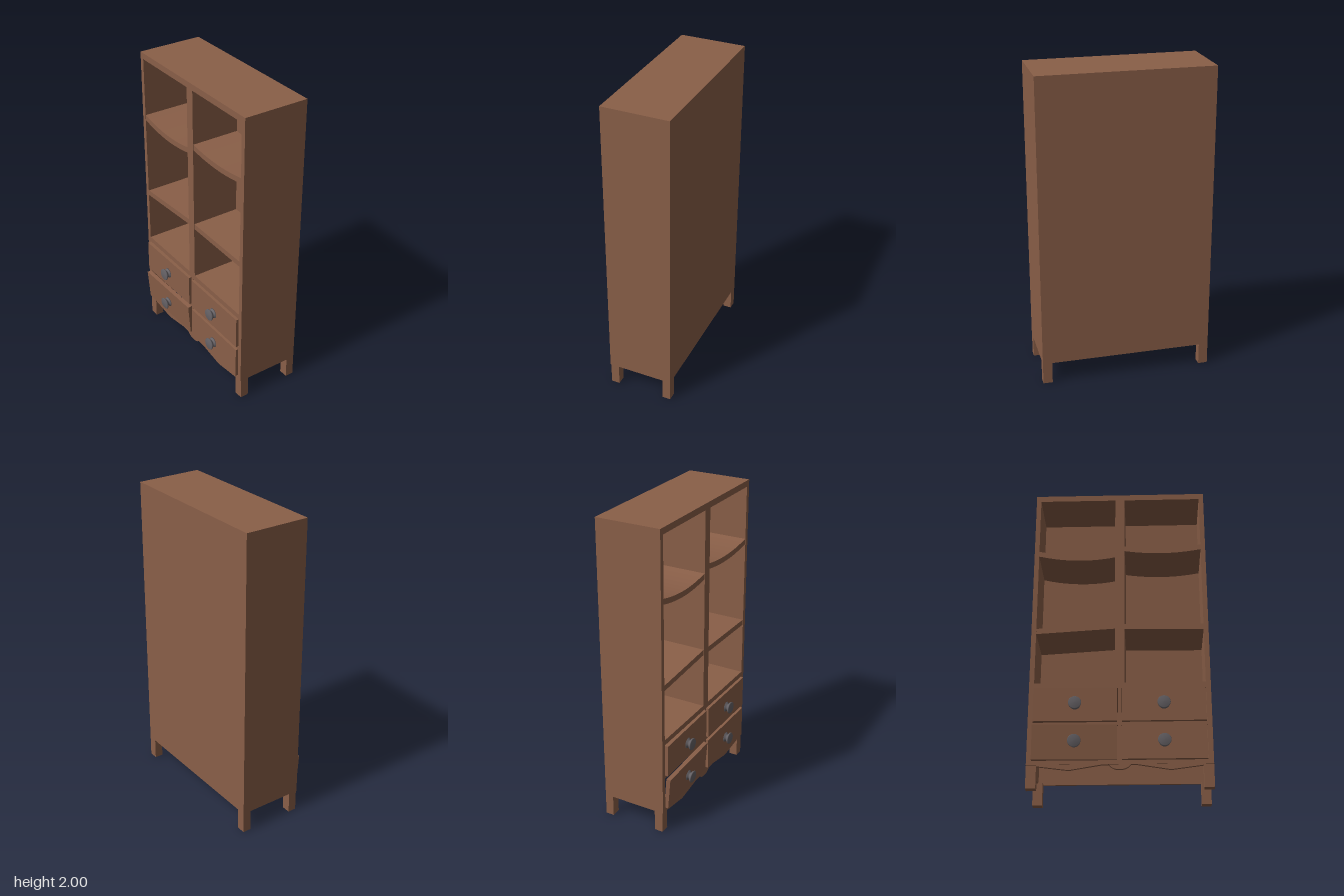
import * as THREE from 'three';

const wood = new THREE.MeshStandardMaterial({ color: 0x8a5f48 });
wood.name = 'brownWood';
const metal = new THREE.MeshStandardMaterial({ color: 0x676367 });
metal.name = 'greyMetal';

// the open side of the bookcase faces -x
const FRONT = -0.18, BACK = 0.245, HALF = 0.55, BASE = 0.14, TOP = 2;

export function createModel() {
  const model = new THREE.Group();
  model.name = 'bookcase';

  function add(name, geometry, material = wood, parent = model) {
    const mesh = new THREE.Mesh(geometry, material);
    mesh.name = name;
    parent.add(mesh);
    return mesh;
  }

  // box given by its limits on each axis
  function box(name, x0, x1, y0, y1, z0, z1) {
    const g = new THREE.BoxGeometry(x1 - x0, y1 - y0, z1 - z0);
    g.translate((x0 + x1) / 2, (y0 + y1) / 2, (z0 + z1) / 2);
    return add(name, g);
  }

  // outline in (z, y) extruded from x0 to x1
  function slab(name, shape, x0, x1) {
    const g = new THREE.ExtrudeGeometry(shape, { depth: x1 - x0, bevelEnabled: false, curveSegments: 10 });
    g.rotateY(-Math.PI / 2);
    g.translate(x1, 0, 0);
    return add(name, g);
  }

  // hollow carcass, open underneath
  for (const s of [-1, 1]) {
    const z = [s * HALF, s * 0.52].sort((a, b) => a - b);
    box('sidePanel', FRONT, BACK, BASE, TOP, z[0], z[1]);
  }
  box('topPanel', FRONT, BACK, 1.96, TOP, -0.52, 0.52);
  box('backPanel', 0.23, BACK, BASE, 1.96, -0.52, 0.52);
  box('innerBack', 0.14, 0.15, 0.655, 1.96, -0.52, 0.52);
  box('divider', FRONT, 0.14, 0.655, 1.96, -0.03, 0.03);
  box('cubbyFloor', FRONT, 0.23, 0.62, 0.655, -0.52, 0.52);

  // rails framing the drawers
  box('bottomRail', FRONT, -0.16, BASE, 0.165, -0.52, 0.52);
  box('middleRail', FRONT, -0.16, 0.382, 0.402, -0.52, 0.52);
  box('drawerStile', FRONT, -0.16, 0.165, 0.62, -0.01, 0.01);

  // worn shelves: [z start, z end, y start, y end, sag]
  const shelves = [
    [-0.52, -0.03, 1.58, 1.565, 0.028],
    [0.03, 0.52, 1.61, 1.615, 0.022],
    [-0.52, -0.03, 1.025, 1.055, 0],
    [0.03, 0.52, 1.05, 1.045, 0],
  ];
  for (const [z0, z1, y0, y1, sag] of shelves) {
    const t = 0.036, zm = (z0 + z1) / 2, ym = (y0 + y1) / 2 - 2 * sag;
    const shape = new THREE.Shape();
    shape.moveTo(z0, y0 - t);
    shape.quadraticCurveTo(zm, ym - t, z1, y1 - t);
    shape.lineTo(z1, y1);
    shape.quadraticCurveTo(zm, ym, z0, y0);
    slab('shelf', shape, FRONT + 0.002, 0.14);
  }

  // square legs
  for (const [x0, x1] of [[-0.175, -0.12], [0.19, BACK]]) {
    box('leg', x0, x1, 0, 0.145, -HALF, -0.49);
    box('leg', x0, x1, 0, 0.145, 0.49, HALF);
  }

  // shaped apron between the front legs
  const apron = new THREE.Shape();
  apron.moveTo(-0.49, 0.145);
  apron.lineTo(-0.49, 0.132);
  apron.lineTo(-0.3, 0.107);
  apron.lineTo(-0.1, 0.14);
  apron.lineTo(-0.065, 0.14);
  apron.quadraticCurveTo(-0.045, 0.11, 0, 0.11);
  apron.quadraticCurveTo(0.045, 0.11, 0.065, 0.14);
  apron.lineTo(0.1, 0.14);
  apron.lineTo(0.3, 0.107);
  apron.lineTo(0.49, 0.132);
  apron.lineTo(0.49, 0.145);
  slab('apron', apron, -0.178, -0.16);

  // drawer fronts with turned knobs; those at -z hang crooked
  const profile = [[0, 0], [0.034, 0], [0.032, 0.006], [0.022, 0.011], [0.022, 0.017],
    [0.037, 0.027], [0.04, 0.033], [0.037, 0.039], [0, 0.04]].map(([r, h]) => new THREE.Vector2(r, h));
  // [y, z, x, lean, swing]
  const drawers = [
    [0.51, 0.265, -0.182, 0, 0],
    [0.273, 0.265, -0.182, 0, 0],
    [0.51, -0.268, -0.185, 0, 0.012],
    [0.273, -0.268, -0.189, 0.08, 0.022],
  ];
  for (const [y, z, x, lean, swing] of drawers) {
    const drawer = new THREE.Group();
    drawer.name = 'drawer';
    drawer.position.set(x, y, z);
    drawer.rotation.set(0, swing, lean);
    model.add(drawer);
    add('drawerFront', new THREE.BoxGeometry(0.028, 0.212, 0.504), wood, drawer);
    const knob = add('knob', new THREE.LatheGeometry(profile, 20), metal, drawer);
    knob.rotation.z = Math.PI / 2;
    knob.position.x = -0.013;
  }

  return model;
}
